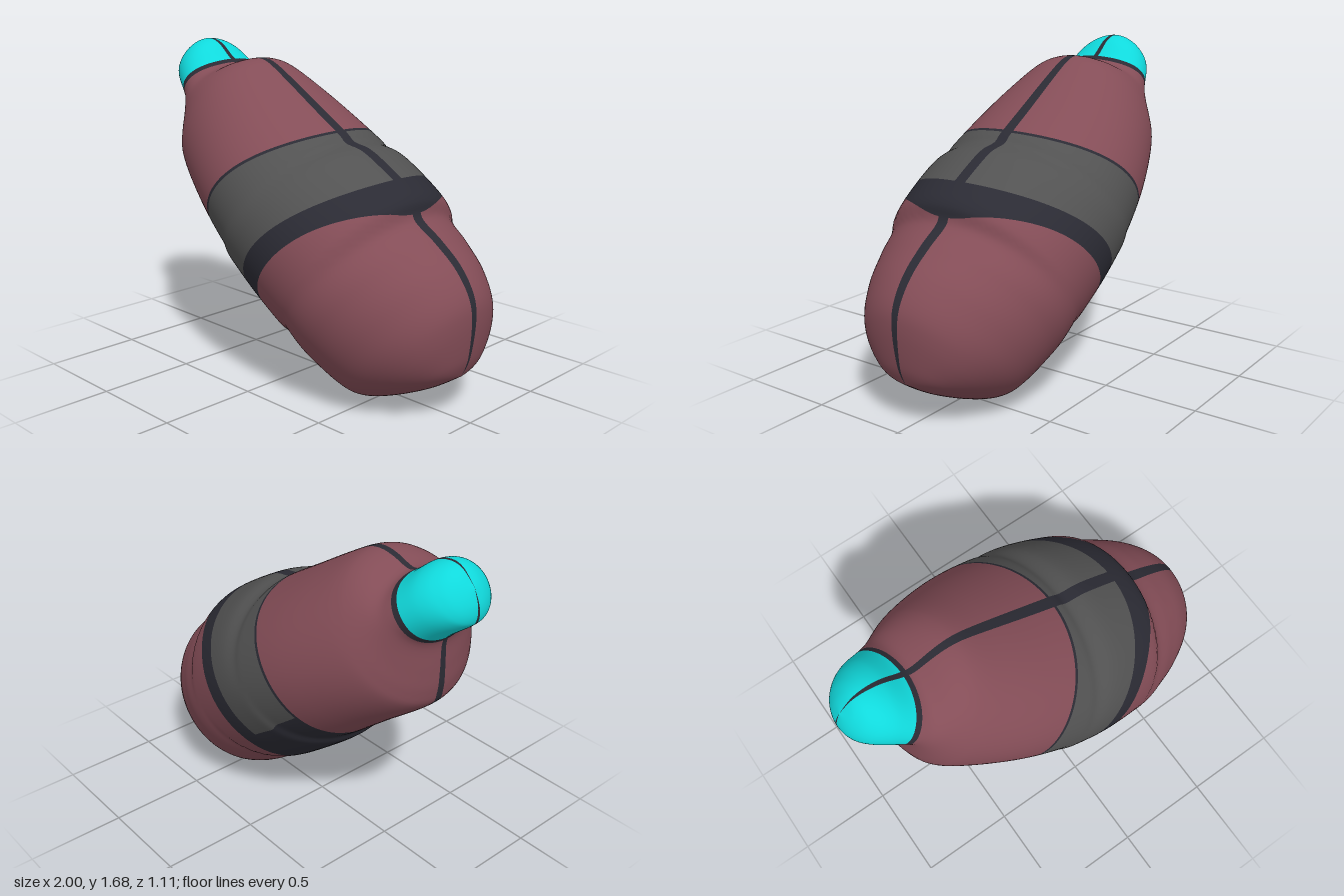
import * as THREE from 'three';

// Bottle axis (cap to base) and the direction across it, both in the xy plane
const AXIS = new THREE.Vector3(0.8, -0.6, 0);
const ACROSS = new THREE.Vector3(0.6, 0.8, 0);
const T0 = -1.736, T1 = 0.62;

// Smooth profile value as a function of the position t along the axis
function profile(points) {
  const pts = new THREE.SplineCurve(points.map(p => new THREE.Vector2(...p))).getPoints(500);
  return t => {
    let i = 1;
    while (i < pts.length - 1 && pts[i].x < t) i++;
    const a = pts[i - 1], b = pts[i];
    const f = THREE.MathUtils.clamp((t - a.x) / Math.max(b.x - a.x, 1e-6), 0, 1);
    return a.y + (b.y - a.y) * f;
  };
}

const upper = profile([[T0, 0.698], [-1.719, 0.792], [-1.672, 0.846], [-1.593, 0.874], [-1.479, 0.872],
  [-1.416, 0.888], [-1.354, 0.972], [-1.296, 1.028], [-1.22, 1.06], [-1.06, 1.08], [-0.825, 1.1],
  [-0.626, 1.118], [-0.562, 1.118], [-0.47, 1.16], [-0.36, 1.18], [-0.172, 1.196], [-0.088, 1.184],
  [-0.024, 1.135], [0.12, 1.14], [0.276, 1.132], [0.412, 1.084], [0.5, 1.0], [0.592, 0.844], [T1, 0.74]]);
const lower = profile([[T0, 0.698], [-1.715, 0.62], [-1.676, 0.568], [-1.628, 0.554], [-1.486, 0.548],
  [-1.428, 0.529], [-1.35, 0.425], [-1.274, 0.332], [-1.188, 0.284], [-0.904, 0.272], [-0.67, 0.26],
  [-0.592, 0.256], [-0.524, 0.232], [-0.29, 0.22], [-0.115, 0.22], [-0.058, 0.244], [0.104, 0.228],
  [0.27, 0.24], [0.365, 0.28], [0.456, 0.392], [0.562, 0.584], [T1, 0.74]]);
const depth = profile([[T0, 0], [-1.72, 0.07], [-1.68, 0.14], [-1.6, 0.2], [-1.42, 0.27], [-1.2, 0.395],
  [-0.9, 0.495], [-0.6, 0.545], [-0.33, 0.555], [0, 0.52], [0.15, 0.48], [0.28, 0.435], [0.4, 0.375],
  [0.5, 0.29], [0.57, 0.19], [0.605, 0.1], [T1, 0]]);

// Point on the inflated surface: an ellipse around the axis at each t
function surfacePoint(t, angle) {
  const hi = upper(t), lo = lower(t);
  const v = (hi + lo) / 2 + (hi - lo) / 2 * Math.cos(angle);
  return new THREE.Vector3().addScaledVector(AXIS, t).addScaledVector(ACROSS, v)
    .setZ(depth(t) * Math.sin(angle));
}

// Sections along the axis; each ends on a curve of k, the position across (-1 to 1)
const sections = [
  { part: 'cap', rows: 36, end: k => -1.505 + 0.035 * k * k },
  { part: 'trim', rows: 3, end: k => -1.477 + 0.035 * k * k },
  { part: 'body', rows: 50, end: k => -0.782 + 0.025 * k + 0.105 * k * k },
  { part: 'trim', rows: 2, end: k => -0.766 + 0.025 * k + 0.105 * k * k },
  { part: 'label', rows: 30, end: k => -0.385 + 0.05 * k + 0.1 * k * k },
  { part: 'trim', rows: 14, end: k => -0.27 + 0.04 * k + 0.09 * k * k + 0.09 * k ** 4 },
  { part: 'body', rows: 64, end: () => T1 },
];

// Angular spans round the bottle: seam, label side, dark label foot, then mirrored
const SEAM = 0.055, FOOT = Math.acos(-0.53), PI = Math.PI;
const spans = [
  { kind: 'seam', from: -SEAM, to: SEAM, cells: 2 },
  { kind: 'side', from: SEAM, to: FOOT, cells: 40 },
  { kind: 'foot', from: FOOT, to: PI - SEAM, cells: 22 },
  { kind: 'seam', from: PI - SEAM, to: PI + SEAM, cells: 2 },
  { kind: 'foot', from: PI + SEAM, to: 2 * PI - FOOT, cells: 22 },
  { kind: 'side', from: 2 * PI - FOOT, to: 2 * PI - SEAM, cells: 40 },
];

export function createModel() {
  const group = new THREE.Group();
  const colors = { body: 0x844d57, cap: 0x10d9dc, label: 0x525252, trim: 0x2b2b34 };
  const names = { body: 'bottleBody', cap: 'bottleCap', label: 'labelBand', trim: 'darkTrimAndSeam' };

  // Columns of the surface grid
  const columns = [];
  for (const s of spans)
    for (let c = 0; c < s.cells; c++)
      columns.push({ kind: s.kind, angle: s.from + (s.to - s.from) * c / s.cells });
  const n = columns.length;

  // Rows of the surface grid, crowded towards the two rounded ends
  const positions = [], rowParts = [];
  const addRow = tAt => columns.forEach(({ angle }) =>
    positions.push(...surfacePoint(tAt(Math.cos(angle)), angle).toArray()));
  let start = () => T0;
  addRow(start);
  sections.forEach(({ part, rows, end }, i) => {
    const from = start;
    for (let r = 1; r <= rows; r++) {
      let f = r / rows;
      if (i === 0) f = f * f;
      if (i === sections.length - 1) f = 1 - (1 - f) ** 2;
      addRow(k => from(k) + (end(k) - from(k)) * f);
      rowParts.push(part);
    }
    start = end;
  });

  // Sort the cells into parts
  const indices = { body: [], cap: [], label: [], trim: [] };
  const all = [];
  rowParts.forEach((rowPart, i) => {
    for (let j = 0; j < n; j++) {
      const { kind } = columns[j];
      const dark = kind === 'seam' || (kind === 'foot' && rowPart === 'label');
      const a = i * n + j, b = i * n + (j + 1) % n, c = a + n, d = b + n;
      const cell = [a, b, c, b, d, c];
      indices[dark ? 'trim' : rowPart].push(...cell);
      all.push(...cell);
    }
  });

  // Smooth normals over the whole surface, shared by every part
  const whole = new THREE.BufferGeometry();
  whole.setAttribute('position', new THREE.Float32BufferAttribute(positions, 3));
  whole.setIndex(all);
  whole.computeVertexNormals();

  for (const part of Object.keys(indices)) {
    const geometry = new THREE.BufferGeometry();
    geometry.setAttribute('position', whole.getAttribute('position'));
    geometry.setAttribute('normal', whole.getAttribute('normal'));
    geometry.setIndex(indices[part]);
    const material = new THREE.MeshStandardMaterial({ color: colors[part] });
    material.name = part + 'Color';
    const mesh = new THREE.Mesh(geometry, material);
    mesh.name = names[part];
    group.add(mesh);
  }
  return group;
}
